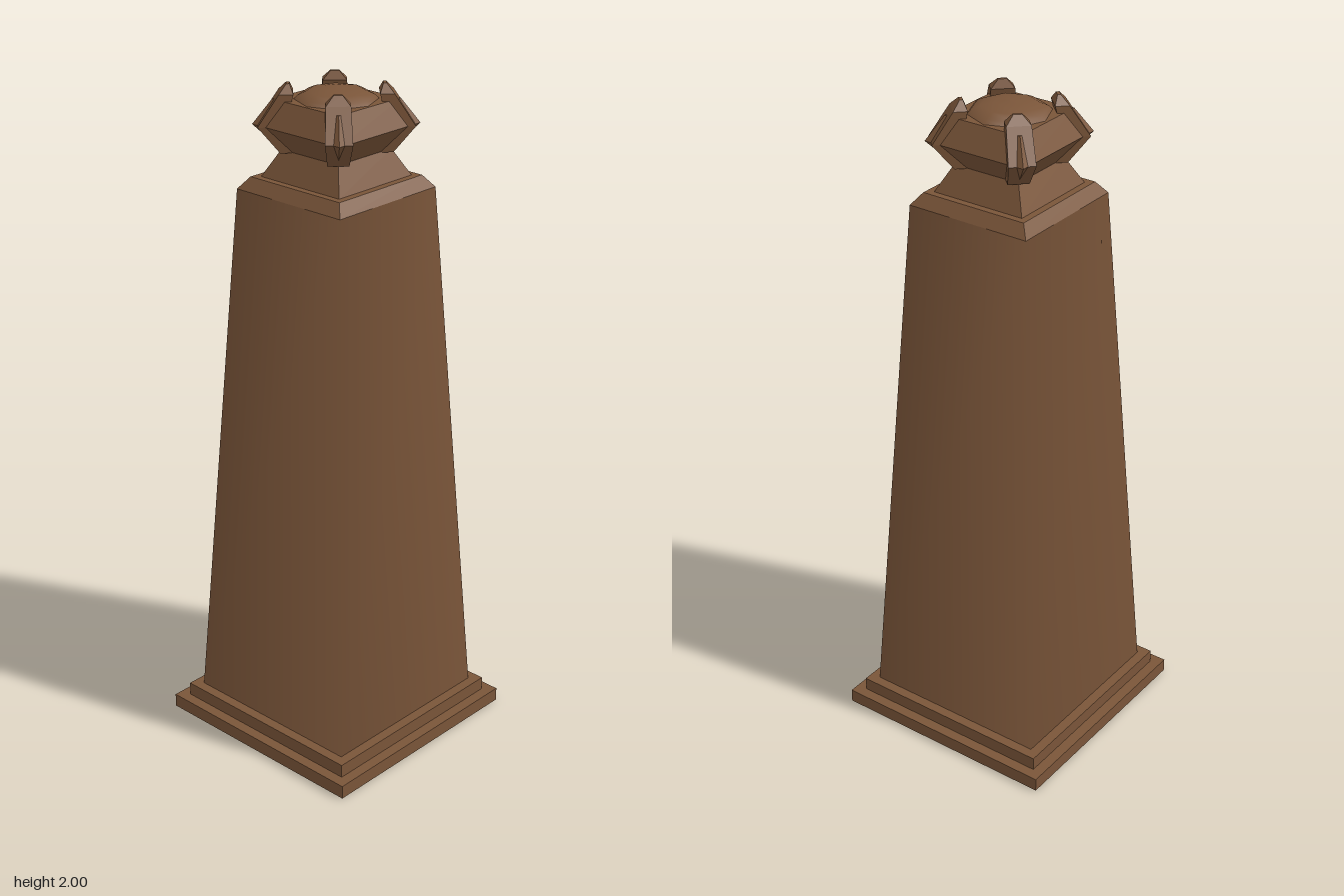
import * as THREE from 'three';

export function createModel() {
  const group = new THREE.Group();
  const brown = new THREE.MeshStandardMaterial({ color: 0x7a5539 });
  brown.name = 'brown';

  const add = (name, geometry) => {
    const mesh = new THREE.Mesh(geometry, brown);
    mesh.name = name;
    group.add(mesh);
    return mesh;
  };
  const flat = (geometry) => {
    const g = geometry.toNonIndexed();
    g.computeVertexNormals();
    return g;
  };
  // Square frustum given by half widths and heights
  const frustum = (bottom, top, y0, y1) =>
    new THREE.CylinderGeometry(top * Math.SQRT2, bottom * Math.SQRT2, y1 - y0, 4)
      .rotateY(Math.PI / 4)
      .translate(0, (y0 + y1) / 2, 0);
  // Square frame, open in the middle
  const frame = (outer, inner, y0, y1) => {
    const square = (h) => [[-h, -h], [h, -h], [h, h], [-h, h]].map(([x, y]) => new THREE.Vector2(x, y));
    const shape = new THREE.Shape(square(outer));
    shape.holes.push(new THREE.Path(square(inner).reverse()));
    return new THREE.ExtrudeGeometry(shape, { depth: y1 - y0, bevelEnabled: false })
      .rotateX(-Math.PI / 2)
      .translate(0, y0, 0);
  };

  // Stepped plinth, hollow underneath
  add('lowerPlinth', frame(0.358, 0.322, 0, 0.042));
  add('upperPlinth', frame(0.325, 0.29, 0.042, 0.083));

  // Tapered shaft with soft corner shading
  add('shaft', frustum(0.294, 0.196, 0.083, 1.7));

  // Shoulder, neck and square bowl
  add('shoulder', flat(frustum(0.196, 0.169, 1.7, 1.735)));
  add('neck', flat(frustum(0.148, 0.108, 1.735, 1.812)));
  add('bowlUnderside', flat(frustum(0.106, 0.164, 1.81, 1.885)));
  add('bowlRim', flat(frustum(0.164, 0.125, 1.885, 1.955)));

  // Low eight-sided dome
  const domeProfile = [[0.122, 1.95], [0.108, 1.965], [0.08, 1.978], [0.04, 1.985], [0, 1.987]]
    .map(([r, y]) => new THREE.Vector2(r, y));
  add('dome', new THREE.LatheGeometry(domeProfile, 8));

  // Corner claws: each row is height, outer reach, inner reach, half width
  const rows = [
    [1.81, 0.156, 0.1, 0.03],
    [1.885, 0.217, 0.14, 0.0375],
    [1.975, 0.158, 0.118, 0.034],
    [2.0, 0.137, 0.128, 0.012],
  ];
  const claw = new THREE.BoxGeometry(1, 3, 1, 1, 3, 1);
  const p = claw.attributes.position;
  for (let i = 0; i < p.count; i++) {
    const [y, outer, inner, half] = rows[Math.round(p.getY(i) + 1.5)];
    p.setXYZ(i, p.getX(i) > 0 ? outer : inner, y, Math.sign(p.getZ(i)) * half);
  }
  const clawGeometry = flat(claw);
  for (let k = 0; k < 4; k++) {
    add('cornerClaw', clawGeometry).rotation.y = Math.PI / 4 + (k * Math.PI) / 2;
  }

  return group;
}
